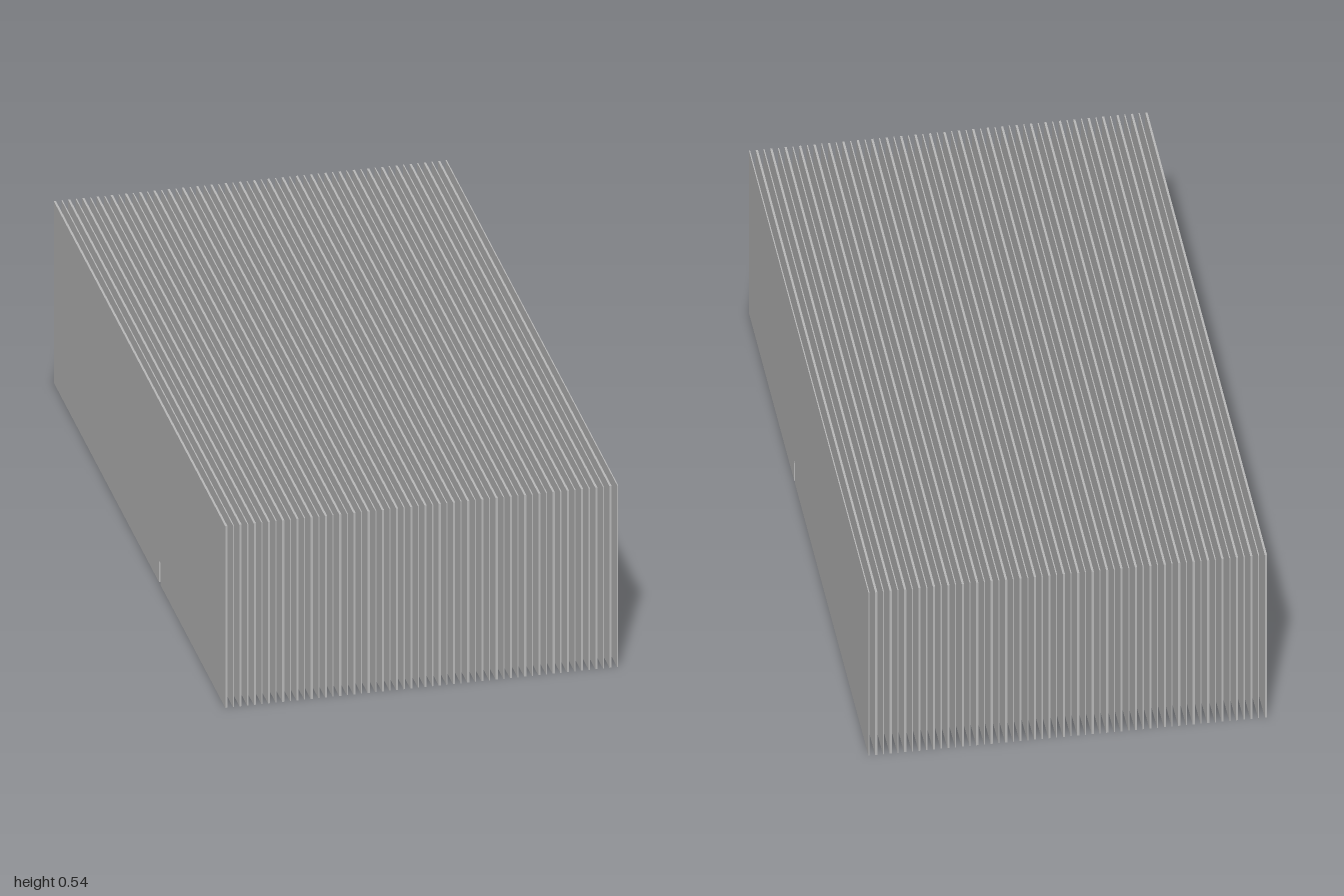
import * as THREE from 'three';

const COUNT = 56, HALF = 0.5375, HEIGHT = 0.54, SLOT_H = 0.065;
const SLOT_BACK = 0.227, SLOT_FRONT = 0.243;
const THICK = 0.006, THIN = 0.003;

// Side outline of one fin with the narrow notch in its lower edge
function finGeometry(thickness) {
  const shape = new THREE.Shape([
    [-1, 0], [-SLOT_FRONT, 0], [-SLOT_FRONT, SLOT_H], [-SLOT_BACK, SLOT_H],
    [-SLOT_BACK, 0], [1, 0], [1, HEIGHT], [-1, HEIGHT],
  ].map(([x, y]) => new THREE.Vector2(x, y)));
  const geo = new THREE.ExtrudeGeometry(shape, { depth: thickness, bevelEnabled: false });
  geo.translate(0, 0, -thickness / 2);
  return geo.rotateY(Math.PI / 2); // shape x becomes -z
}

export function createModel() {
  const model = new THREE.Group();
  model.name = 'finStack';
  const metal = new THREE.MeshStandardMaterial({ color: 0xb8b8b8 });
  metal.name = 'bare metal';

  const add = (name, geo, x, y = 0, z = 0) => {
    const mesh = new THREE.Mesh(geo, metal);
    mesh.name = name;
    mesh.position.set(x, y, z);
    model.add(mesh);
  };

  // Fins alternate between thick and thin plates
  const thickFin = finGeometry(THICK), thinFin = finGeometry(THIN);
  const first = -HALF + THICK / 2, last = HALF - THIN / 2;
  const pitch = (last - first) / (COUNT - 1);

  for (let i = 0; i < COUNT; i++) {
    const x = first + i * pitch;
    add('fin', i % 2 ? thinFin : thickFin, x);
    if (i === COUNT - 1) break;

    // Spacer tab in each gap, every other one wider, with a lip over the notch
    const wide = i % 2 === 0;
    const back = wide ? 0.22 : 0.232, front = wide ? 0.323 : 0.302;
    const mid = x + pitch / 2;
    add('spacer', new THREE.BoxGeometry(pitch, SLOT_H, front - SLOT_FRONT),
      mid, SLOT_H / 2, (front + SLOT_FRONT) / 2);
    add('spacerLip', new THREE.BoxGeometry(pitch, 0.004, SLOT_FRONT - back),
      mid, SLOT_H + 0.002, (SLOT_FRONT + back) / 2);
  }
  return model;
}
